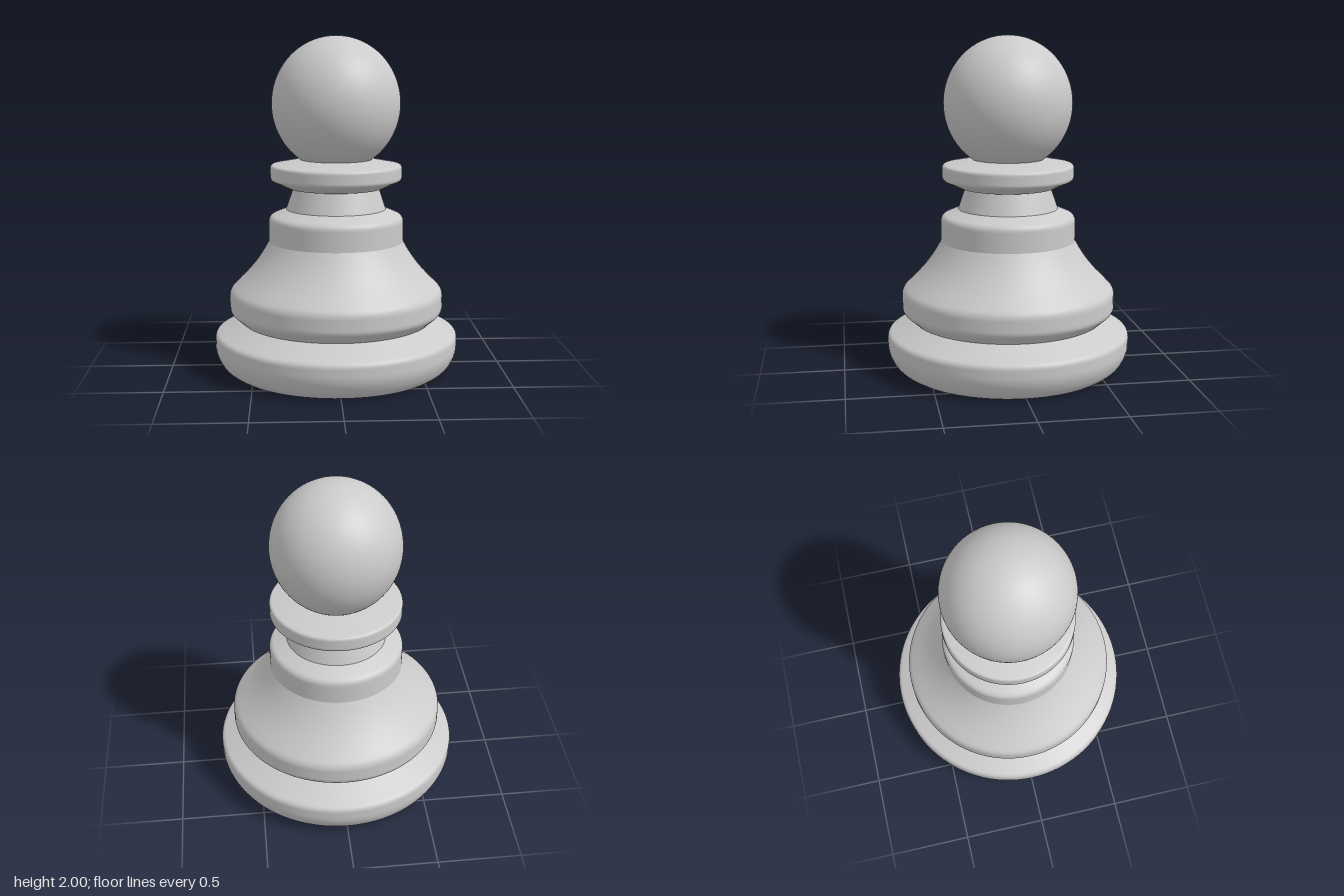
import * as THREE from 'three';

const SEGMENTS = 96;
const material = new THREE.MeshStandardMaterial({ color: 0xcccccc });

// Profile of [radius, height, fillet] corners, bottom to top; fillet rounds the corner.
function filletProfile(corners) {
  const pts = corners.map(([x, y]) => new THREE.Vector2(x, y));
  const out = [];
  corners.forEach(([, , fillet = 0], i) => {
    const p = pts[i];
    if (!fillet) return out.push(p);
    const a = p.clone().add(pts[i - 1].clone().sub(p).setLength(fillet));
    const b = p.clone().add(pts[i + 1].clone().sub(p).setLength(fillet));
    // short lead-in points keep the neighbouring straight faces crisp in shading
    out.push(p.clone().add(pts[i - 1].clone().sub(p).setLength(fillet * 1.1)));
    out.push(...new THREE.QuadraticBezierCurve(a, p, b).getPoints(8));
    out.push(p.clone().add(pts[i + 1].clone().sub(p).setLength(fillet * 1.1)));
  });
  return out;
}

function turned(name, points) {
  const mesh = new THREE.Mesh(new THREE.LatheGeometry(points, SEGMENTS), material);
  mesh.name = name;
  return mesh;
}

export function createModel() {
  const group = new THREE.Group();
  group.name = 'pawn';

  // Flat underside
  group.add(turned('underside', filletProfile([[0, 0], [0.65, 0]])));

  // Wide foot with a rounded lower edge and a sloped top
  group.add(turned('foot', filletProfile([
    [0.65, 0], [0.695, 0.03, 0.035], [0.735, 0.11, 0.04], [0.735, 0.215, 0.025], [0.57, 0.297],
  ])));

  // Lower ring flowing into the concave skirt
  const ring = filletProfile([
    [0.57, 0.29], [0.645, 0.355, 0.025], [0.645, 0.475, 0.03], [0.6, 0.52],
  ]);
  const skirt = new THREE.CubicBezierCurve(
    new THREE.Vector2(0.6, 0.52), new THREE.Vector2(0.51, 0.605),
    new THREE.Vector2(0.455, 0.68), new THREE.Vector2(0.405, 0.775),
  ).getPoints(16);
  group.add(turned('skirt', [...ring, ...skirt.slice(1)]));

  // Shoulder band
  group.add(turned('shoulder', filletProfile([
    [0.405, 0.775], [0.405, 0.925, 0.03], [0.3, 0.97],
  ])));

  // Tapered neck
  group.add(turned('neck', filletProfile([[0.3, 0.97], [0.255, 1.1]])));

  // Collar disc
  group.add(turned('collarUnderside', filletProfile([[0.25, 1.097], [0.285, 1.098]])));
  group.add(turned('collar', filletProfile([
    [0.285, 1.098], [0.395, 1.148, 0.018], [0.395, 1.235, 0.018], [0.22, 1.268], [0.19, 1.268],
  ])));

  // Slightly tall round head, cut off where it meets the collar
  const head = [];
  for (let i = 0; i <= 48; i++) {
    const t = THREE.MathUtils.lerp(-0.99, Math.PI / 2, i / 48);
    head.push(new THREE.Vector2(Math.max(0, 0.384 * Math.cos(t)), 1.6 + 0.4 * Math.sin(t)));
  }
  group.add(turned('head', head));

  return group;
}
